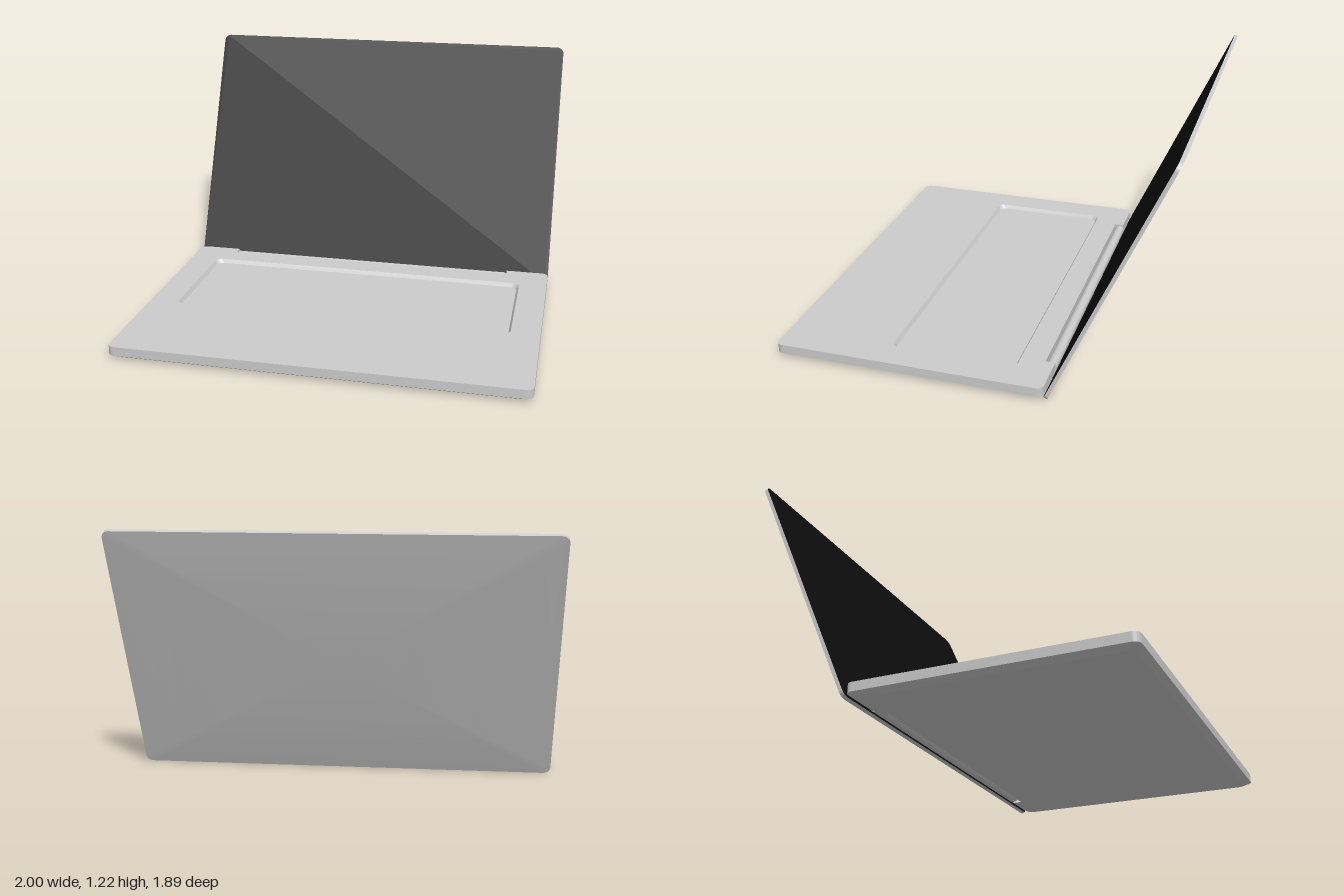
import * as THREE from 'three';
import { toCreasedNormals } from 'three/addons/utils/BufferGeometryUtils.js';

const grey = new THREE.MeshStandardMaterial({ color: 0xcccccc });
const black = new THREE.MeshStandardMaterial({ color: 0x0d0d0d });

const BACK = -0.387, FRONT = 0.945;   // base extent in z
const NOTCH_X = 0.775, NOTCH_Z = -0.34;
const KEYS = { x: 0.855, back: -0.22, front: 0.405 };

// Rounded rectangle; an optional notch is cut into the upper edge.
function roundedRect(path, x, y0, y1, r, notch) {
  path.moveTo(-x + r, y0);
  path.lineTo(x - r, y0);
  path.absarc(x - r, y0 + r, r, -Math.PI / 2, 0);
  path.absarc(x - r, y1 - r, r, 0, Math.PI / 2);
  if (notch) {
    path.lineTo(notch.x, y1);
    path.lineTo(notch.x, notch.y);
    path.lineTo(-notch.x, notch.y);
    path.lineTo(-notch.x, y1);
  }
  path.absarc(-x + r, y1 - r, r, Math.PI / 2, Math.PI);
  path.absarc(-x + r, y0 + r, r, Math.PI, Math.PI * 1.5);
  path.closePath();
  return path;
}

// Horizontal slice of the base between two heights; rule(v) shapes its lower rim.
function baseSlab(y0, y1, hole, rule) {
  const shape = roundedRect(new THREE.Shape(), 1, -FRONT, -BACK, 0.035, { x: NOTCH_X, y: -NOTCH_Z });
  if (hole) shape.holes.push(roundedRect(new THREE.Path(), KEYS.x, -KEYS.front, -KEYS.back, 0.035));
  const geo = new THREE.ExtrudeGeometry(shape, { depth: y1 - y0, bevelEnabled: false, curveSegments: 8 });
  geo.rotateX(-Math.PI / 2).translate(0, y0, 0);
  const pos = geo.attributes.position, v = new THREE.Vector3();
  for (let i = 0; rule && i < pos.count; i++) {
    v.fromBufferAttribute(pos, i);
    if (v.y < y0 + 1e-4) {
      rule(v);
      pos.setXYZ(i, v.x, v.y, v.z);
    }
  }
  return toCreasedNormals(geo, 0.5);
}

// Lid shell: a thin rim and a gently domed back made of shrinking outlines.
function lidShell(outline, centreY, rim, bulge) {
  const steps = 14, n = outline.length, positions = [], index = [];
  const rings = [[1, 0]];
  for (let i = 0; i <= steps; i++) {
    const s = 1 - i / steps;
    rings.push([s, -rim - bulge * (1 - s * s)]);
  }
  for (const [s, z] of rings) {
    for (const p of outline) positions.push(p.x * s, centreY + (p.y - centreY) * s, z);
  }
  for (let k = 0; k < rings.length - 1; k++) {
    for (let i = 0; i < n; i++) {
      const a = k * n + i, b = k * n + (i + 1) % n;
      index.push(a, a + n, b);
      if (k < rings.length - 2) index.push(b, a + n, b + n);
    }
  }
  const geo = new THREE.BufferGeometry();
  geo.setAttribute('position', new THREE.Float32BufferAttribute(positions, 3));
  geo.setIndex(index);
  return toCreasedNormals(geo, 0.5);
}

function add(parent, name, geometry, material = grey) {
  const mesh = new THREE.Mesh(geometry, material);
  mesh.name = name;
  parent.add(mesh);
  return mesh;
}

export function createModel() {
  const model = new THREE.Group();
  model.name = 'laptop';

  // Base: chamfered underside, solid body and a deck with the keyboard recess
  const base = new THREE.Group();
  base.name = 'base';
  model.add(base);
  const midZ = (FRONT + BACK) / 2;
  add(base, 'underside', baseSlab(0, 0.02, false, (v) => {
    v.x *= 0.966;
    v.z = midZ + (v.z - midZ) * 0.95;
  }));
  add(base, 'body', baseSlab(0.02, 0.045, false));
  const keysZ = (KEYS.front + KEYS.back) / 2;
  add(base, 'keyboardDeck', baseSlab(0.045, 0.065, true, (v) => {
    // recess walls lean inwards
    if (Math.abs(v.x) < KEYS.x + 0.01 && v.z > KEYS.back - 0.01 && v.z < KEYS.front + 0.01) {
      v.x -= Math.sign(v.x) * 0.012;
      v.z -= Math.sign(v.z - keysZ) * 0.012;
    }
  }));

  // Hinge barrel lying in the notch
  const hinge = add(model, 'hinge', new THREE.CylinderGeometry(0.025, 0.025, 1.54, 24));
  hinge.rotation.z = Math.PI / 2;
  hinge.position.set(0, 0.035, -0.368);

  // Lid, leaning back from the rear edge of the base
  const lid = new THREE.Group();
  lid.name = 'lid';
  lid.position.set(0, 0.008, -0.386);
  lid.rotation.x = -0.424;
  model.add(lid);
  const height = 1.33;
  const face = roundedRect(new THREE.Shape(), 1, 0, height, 0.035);
  const outline = face.getPoints(8).filter((p, i, all) => i === 0 ||
    (p.distanceTo(all[i - 1]) > 1e-5 && p.distanceTo(all[0]) > 1e-5));
  add(lid, 'lidShell', lidShell(outline, height / 2, 0.018, 0.02));
  add(lid, 'screen', new THREE.ShapeGeometry(face, 8), black);

  return model;
}
